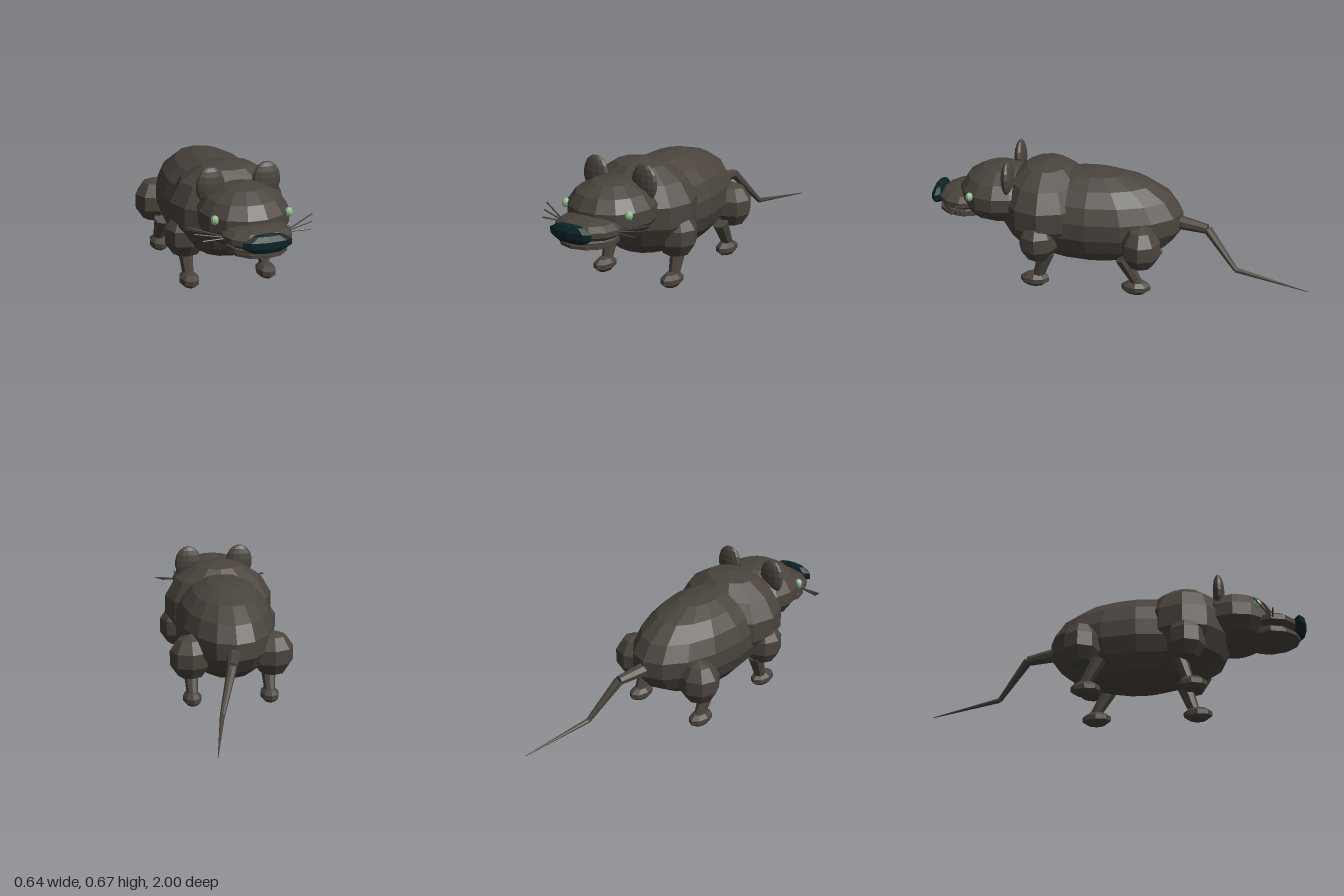
import * as THREE from 'three';

export function createModel() {
  const model = new THREE.Group();
  model.name = 'rodent';
  const paint = (name, color) => {
    const m = new THREE.MeshStandardMaterial({ color, flatShading: true });
    m.name = name;
    return m;
  };
  const fur = paint('dark brown fur', 0x4a443d);
  const noseColor = paint('dark teal', 0x0a2427);
  const eyeColor = paint('pale green', 0x8fbc8f);

  // Faceted ellipsoid with vertical poles
  const blob = (name, mat, pos, radii, cols, rows, parent = model) => {
    const mesh = new THREE.Mesh(new THREE.SphereGeometry(1, cols, rows), mat);
    mesh.name = name;
    mesh.position.set(...pos);
    mesh.scale.set(...radii);
    parent.add(mesh);
    return mesh;
  };

  // Tapered rod between two points
  const rod = (name, a, b, ra, rb, sides, parent = model) => {
    const from = new THREE.Vector3(...a), to = new THREE.Vector3(...b);
    const dir = to.clone().sub(from);
    const mesh = new THREE.Mesh(new THREE.CylinderGeometry(rb, ra, dir.length(), sides), fur);
    mesh.name = name;
    mesh.position.copy(from).add(to).multiplyScalar(0.5);
    mesh.quaternion.setFromUnitVectors(new THREE.Vector3(0, 1, 0), dir.normalize());
    parent.add(mesh);
    return mesh;
  };

  // Body and head
  blob('body', fur, [0, 0.348, 0.14], [0.26, 0.252, 0.48], 16, 9);
  blob('shoulders', fur, [0, 0.39, 0.38], [0.298, 0.245, 0.25], 12, 7);
  blob('head', fur, [0, 0.44, 0.63], [0.227, 0.155, 0.22], 14, 7);

  // Muzzle
  blob('snout', fur, [0, 0.405, 0.82], [0.175, 0.058, 0.145], 12, 7);
  blob('lowerJaw', fur, [0, 0.352, 0.815], [0.15, 0.05, 0.135], 12, 7);
  const mouth = new THREE.Mesh(new THREE.CylinderGeometry(0.145, 0.145, 0.016, 12), fur);
  mouth.name = 'mouth';
  mouth.position.set(0, 0.343, 0.82);
  model.add(mouth);
  blob('nose', noseColor, [0, 0.41, 0.965], [0.125, 0.05, 0.036], 8, 5);

  // Paired parts
  for (const s of [1, -1]) {
    const side = s > 0 ? 'left' : 'right';
    blob(side + 'Ear', fur, [s * 0.142, 0.572, 0.56], [0.073, 0.095, 0.03], 12, 9);
    blob(side + 'Eye', eyeColor, [s * 0.184, 0.47, 0.755], [0.02, 0.023, 0.02], 8, 7);

    const tips = [[0.31, 0.442, 0.74], [0.292, 0.422, 0.785], [0.267, 0.402, 0.832]];
    for (const [x, y, z] of tips) {
      rod(side + 'Whisker', [s * 0.14, 0.403, 0.828], [s * x, y, z], 0.004, 0.004, 5);
    }

    // Legs: thigh, shin and foot
    for (const [name, thighZ, topZ, footZ] of [['Front', 0.39, 0.35, 0.415], ['Rear', -0.145, -0.05, -0.12]]) {
      const leg = new THREE.Group();
      leg.name = side + name + 'Leg';
      blob('thigh', fur, [s * 0.212, 0.275, thighZ], [0.113, 0.122, 0.105], 8, 5, leg);
      rod('shin', [s * 0.203, 0.2, topZ], [s * 0.203, 0.05, footZ - 0.015], 0.042, 0.027, 8, leg);
      blob('foot', fur, [s * 0.203, 0.04, footZ], [0.051, 0.04, 0.079], 8, 5, leg);
      model.add(leg);
    }
  }

  // Kinked tail
  const tail = new THREE.Group();
  tail.name = 'tail';
  const joints = [
    [0.005, 0.34, -0.28, 0.039], [0.045, 0.326, -0.465, 0.025],
    [0.115, 0.14, -0.625, 0.013], [0.187, 0.09, -1, 0.002],
  ];
  for (let i = 0; i < joints.length - 1; i++) {
    const [x, y, z, r] = joints[i], [u, v, w, q] = joints[i + 1];
    rod('tailSegment', [x, y, z], [u, v, w], r, q, 8, tail);
  }
  model.add(tail);
  return model;
}
